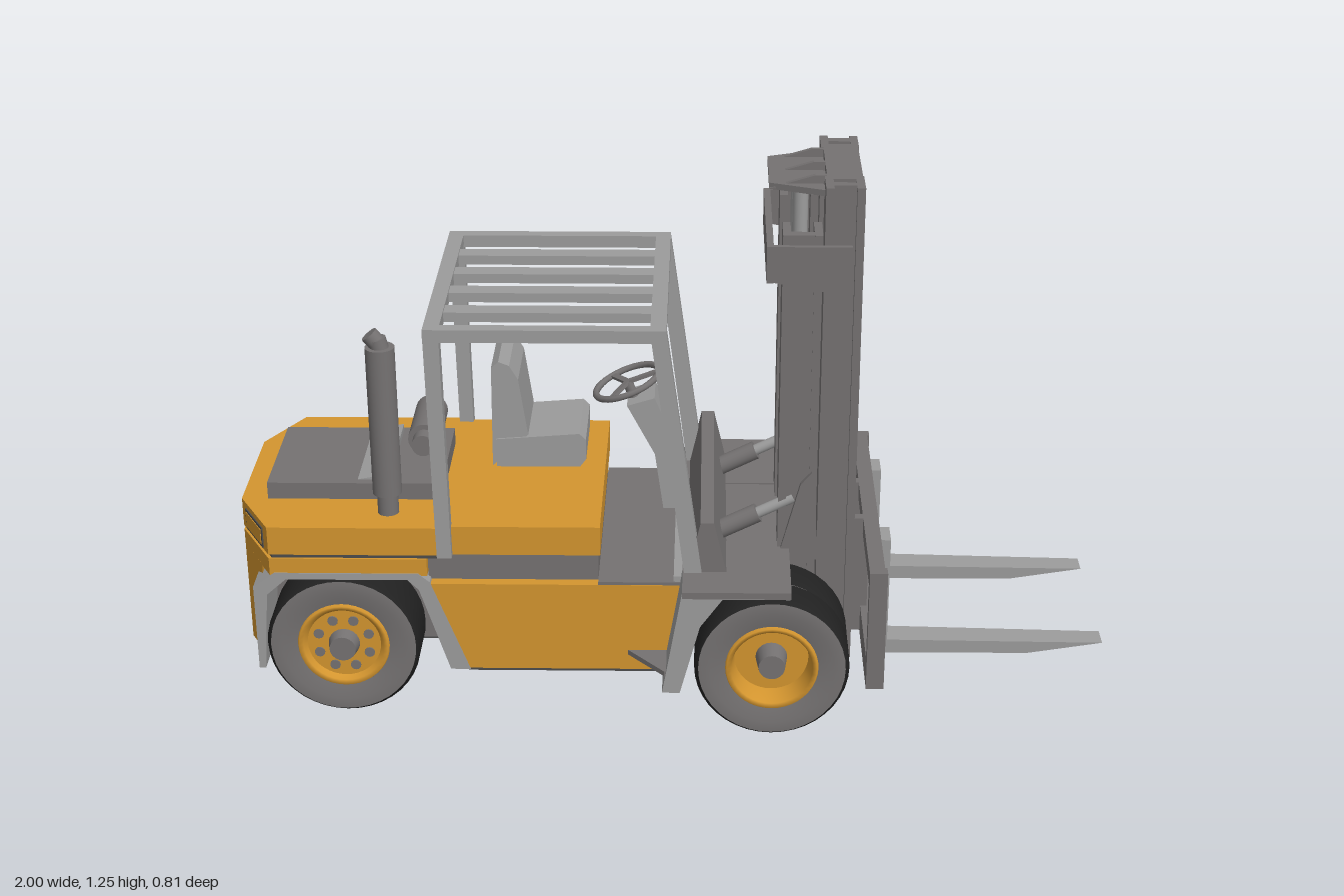
import * as THREE from 'three';

const mat = (name, color, side = THREE.FrontSide) => {
  const m = new THREE.MeshStandardMaterial({ color, side });
  m.name = name;
  return m;
};

export function createModel() {
  const yellow = mat('yellow paint', 0xd3952f);
  const light = mat('light grey', 0x9c9c9c);
  const grey = mat('steel grey', 0x757272);
  const dark = mat('dark underside', 0x4c4c4c);
  const rubber = mat('black rubber', 0x222222);

  const root = new THREE.Group();
  root.name = 'forklift';
  const truck = new THREE.Group();
  truck.name = 'truck';
  truck.rotation.y = 0.053; // the truck stands slightly turned
  root.add(truck);

  const add = (name, geo, m, parent = truck) => {
    const mesh = new THREE.Mesh(geo, m);
    mesh.name = name;
    parent.add(mesh);
    return mesh;
  };
  // box from minimum and maximum corners
  const box = (name, m, x0, x1, y0, y1, z0, z1) => add(name,
    new THREE.BoxGeometry(x1 - x0, y1 - y0, z1 - z0).translate((x0 + x1) / 2, (y0 + y1) / 2, (z0 + z1) / 2), m);
  const shapeOf = (pts) => new THREE.Shape(pts.map(([a, b]) => new THREE.Vector2(a, b)));
  // side profile (x, y) extruded across z
  const slab = (name, m, pts, z0, z1) => add(name,
    new THREE.ExtrudeGeometry(shapeOf(pts), { depth: z1 - z0, bevelEnabled: false }).translate(0, 0, z0), m);
  // plan outline (x, z) extruded upwards
  const plan = (name, m, pts, y0, y1) => add(name,
    new THREE.ExtrudeGeometry(shapeOf(pts), { depth: y1 - y0, bevelEnabled: false })
      .rotateX(Math.PI / 2).translate(0, y1, 0), m);
  // cylinder between two points
  const rod = (name, m, a, b, r, n = 20) => {
    const p = new THREE.Vector3(...a), q = new THREE.Vector3(...b);
    const mesh = add(name, new THREE.CylinderGeometry(r, r, p.distanceTo(q), n), m);
    mesh.position.copy(p).add(q).multiplyScalar(0.5);
    mesh.quaternion.setFromUnitVectors(new THREE.Vector3(0, 1, 0), q.sub(p).normalize());
    return mesh;
  };
  // the same z range on both sides
  const bothSides = (fn) => [[1, 'right'], [-1, 'left']].forEach(([s, side]) =>
    fn((a, b) => (s > 0 ? [a, b] : [-b, -a]), side, s));

  // ---- body ----
  const rearPlan = (x1, i = 0) => [[-0.99 + i, -0.15], [-0.91 + i, -0.295 + i], [x1, -0.295 + i],
    [x1, 0.295 - i], [-0.91 + i, 0.295 - i], [-0.99 + i, 0.15]];
  plan('counterweight', yellow, [[-0.99, -0.15], [-0.935, -0.25], [-0.935, 0.25], [-0.99, 0.15]], 0.12, 0.365);
  plan('rearBodyBand', yellow, rearPlan(-0.555), 0.36, 0.402);
  plan('bodySeam', dark, rearPlan(-0.53, 0.006), 0.402, 0.412);
  plan('rearHood', yellow, rearPlan(-0.52), 0.412, 0.48);
  box('frontHood', yellow, -0.52, -0.165, 0.41, 0.48, -0.285, 0.285);
  box('hoodBase', grey, -0.555, -0.17, 0.34, 0.41, -0.27, 0.27);
  slab('sideBody', yellow, [[-0.47, 0.122], [-0.01, 0.122], [0.03, 0.34], [-0.555, 0.34]], -0.295, 0.295);
  box('floor', grey, -0.17, 0.06, 0.338, 0.347, -0.294, 0.294);
  box('underside', dark, -0.93, 0.12, 0.115, 0.122, -0.15, 0.15);
  box('undersideMiddle', dark, -0.47, -0.01, 0.116, 0.122, -0.294, 0.294);
  box('rearChassis', grey, -0.935, -0.46, 0.12, 0.36, -0.15, 0.15);
  box('frontChassis', light, 0, 0.3, 0.12, 0.36, -0.15, 0.15);
  box('frontDeck', grey, 0.02, 0.26, 0.345, 0.375, -0.3, 0.3);
  slab('cowl', grey, [[0.03, 0.37], [0.12, 0.37], [0.09, 0.5], [0.06, 0.5]], -0.3, 0.3);
  box('hoodCover', grey, -0.93, -0.53, 0.48, 0.52, -0.15, 0.15);
  slab('hoodVent', light, [[-0.73, 0.519], [-0.65, 0.519], [-0.65, 0.535]], -0.14, 0.13);

  bothSides((z, side, s) => {
    slab(side + 'RearArch', light, [[-0.95, 0.12], [-0.935, 0.12], [-0.92, 0.31], [-0.875, 0.35],
      [-0.6, 0.35], [-0.575, 0.325], [-0.51, 0.12], [-0.465, 0.12], [-0.55, 0.345], [-0.575, 0.366],
      [-0.9, 0.366], [-0.95, 0.33]], ...z(0.15, 0.297).map((v, i) => v));
    slab(side + 'FrontFender', light, [[-0.025, 0.12], [0.015, 0.12], [0.06, 0.29], [0.11, 0.36],
      [0.26, 0.36], [0.26, 0.376], [0.02, 0.376]], ...z(0.28, 0.395));
    box(side + 'FenderTop', grey, 0.02, 0.262, 0.362, 0.378, ...z(0.15, 0.397));
    box(side + 'FenderBack', light, 0.0, 0.03, 0.2, 0.36, ...z(0.15, 0.29));
    const step = [[-0.105, 0.294 * s], [-0.015, 0.294 * s], [0, 0.39 * s], [-0.02, 0.39 * s]];
    plan(side + 'Step', grey, step, 0.16, 0.172);
    // lamp recess on the chamfered rear corner
    const lamp = add(side + 'LampFrame', new THREE.BoxGeometry(0.11, 0.05, 0.006), dark);
    const face = add(side + 'Lamp', new THREE.BoxGeometry(0.098, 0.038, 0.009), yellow);
    for (const m of [lamp, face]) {
      m.position.set(-0.95, 0.442, 0.2225 * s);
      m.rotation.y = -s * Math.atan2(0.145, 0.08);
    }
  });

  // ---- exhaust and air filter ----
  rod('exhaustBase', grey, [-0.646, 0.47, 0.212], [-0.646, 0.55, 0.212], 0.024);
  rod('muffler', grey, [-0.646, 0.53, 0.212], [-0.646, 0.885, 0.212], 0.033, 24);
  rod('exhaustTip', grey, [-0.646, 0.88, 0.212], [-0.652, 0.905, 0.212], 0.021);
  rod('exhaustOutlet', grey, [-0.652, 0.895, 0.212], [-0.668, 0.915, 0.212], 0.02);
  rod('airFilter', grey, [-0.585, 0.56, -0.17], [-0.585, 0.56, 0.0], 0.038, 24);
  rod('airFilterEnd', grey, [-0.585, 0.56, 0.0], [-0.585, 0.56, 0.035], 0.026);
  rod('airFilterPipe', grey, [-0.585, 0.56, -0.13], [-0.585, 0.5, -0.13], 0.024);

  // ---- seat ----
  slab('seatCushion', light, [[-0.42, 0.48], [-0.225, 0.48], [-0.21, 0.5], [-0.21, 0.55], [-0.225, 0.565],
    [-0.42, 0.55]], -0.225, -0.025);
  slab('seatBack', light, [[-0.43, 0.48], [-0.345, 0.56], [-0.365, 0.7], [-0.385, 0.735], [-0.41, 0.745],
    [-0.427, 0.73]], -0.22, -0.03);

  // ---- steering ----
  slab('steeringPedestal', light, [[-0.115, 0.615], [-0.05, 0.49], [-0.03, 0.345], [0.03, 0.345],
    [0.01, 0.49], [-0.05, 0.635]], -0.175, -0.075);
  const steering = new THREE.Group();
  steering.name = 'steering';
  steering.position.set(-0.115, 0.655, -0.125);
  steering.rotation.z = 0.37;
  truck.add(steering);
  add('steeringWheel', new THREE.TorusGeometry(0.08, 0.008, 8, 32).rotateX(Math.PI / 2), grey, steering);
  add('steeringColumn', new THREE.CylinderGeometry(0.012, 0.014, 0.07, 12).translate(0, -0.035, 0), grey, steering);
  for (let i = 0; i < 3; i++) {
    add('steeringSpoke', new THREE.BoxGeometry(0.08, 0.008, 0.014).translate(0.04, 0, 0)
      .rotateY(i * Math.PI * 2 / 3), grey, steering);
  }

  // ---- overhead guard ----
  bothSides((z, side) => {
    slab(side + 'RearPost', light, [[-0.53, 0.41], [-0.497, 0.41], [-0.505, 0.96], [-0.54, 0.96]], ...z(0.272, 0.305));
    slab(side + 'FrontPost', light, [[0.028, 0.34], [0.068, 0.34], [-0.015, 0.96], [-0.05, 0.96]], ...z(0.272, 0.305));
    box(side + 'RoofRail', light, -0.54, -0.015, 0.935, 0.964, ...z(0.275, 0.305));
  });
  box('rearRoofBar', light, -0.54, -0.505, 0.935, 0.964, -0.3, 0.3);
  box('frontRoofBar', light, -0.05, -0.015, 0.935, 0.964, -0.3, 0.3);
  for (let i = 0; i < 4; i++) {
    const c = (i - 1.5) * 0.116;
    box('roofSlat', light, -0.51, -0.045, 0.938, 0.96, c - 0.022, c + 0.022);
  }

  // ---- mast ----
  bothSides((z, side, s) => {
    const beam = (name, x0, x1, y0, y1, a, b, web) => {
      box(name + 'FrontFlange', grey, x1 - 0.018, x1, y0, y1, ...z(a, b));
      box(name + 'RearFlange', grey, x0, x0 + 0.018, y0, y1, ...z(a, b));
      box(name + 'Web', grey, x0, x1, y0, y1, ...z(web, web + 0.022));
    };
    beam(side + 'InnerMast', 0.325, 0.41, 0.09, 1.245, 0.1, 0.18, 0.14);
    beam(side + 'OuterMast', 0.235, 0.322, 0.12, 1.135, 0.088, 0.175, 0.15);
    rod(side + 'LiftCylinder', grey, [0.27, 0.15, 0.06 * s], [0.27, 1.05, 0.06 * s], 0.026);
    rod(side + 'LiftPiston', light, [0.275, 1.05, 0.06 * s], [0.275, 1.215, 0.06 * s], 0.017);
    slab(side + 'MastCollar', grey, [[0.2, 1.035], [0.385, 1.0], [0.385, 1.115], [0.2, 1.115]], ...z(0.18, 0.192));
    slab(side + 'TiltBracket', grey, [[0.235, 0.35], [0.33, 0.35], [0.31, 0.57], [0.285, 0.54]], ...z(0.16, 0.185));
    rod(side + 'TiltCylinder', grey, [0.08, 0.405, 0.165 * s], [0.19, 0.46, 0.165 * s], 0.022);
    rod(side + 'TiltPiston', light, [0.18, 0.455, 0.165 * s], [0.27, 0.5, 0.165 * s], 0.013);
  });
  box('mastCollarBack', grey, 0.2, 0.215, 1.03, 1.115, -0.19, 0.19);
  box('mastTopBar', grey, 0.33, 0.408, 1.205, 1.245, -0.12, 0.12);
  plan('mastTopPlate', grey, [[0.205, -0.09], [0.33, -0.14], [0.33, 0.14], [0.205, 0.09]], 1.212, 1.226);
  for (const c of [-0.09, 0, 0.09]) {
    slab('mastTopRib', grey, [[0.205, 1.215], [0.33, 1.215], [0.33, 1.245], [0.305, 1.245]], c - 0.006, c + 0.006);
  }
  box('mastBottomBar', grey, 0.27, 0.408, 0.09, 0.13, -0.175, 0.175);
  box('mastMiddleBar', grey, 0.24, 0.26, 0.56, 0.64, -0.15, 0.15);

  // ---- carriage and forks ----
  box('carriageTopBar', grey, 0.435, 0.47, 0.375, 0.415, -0.37, 0.37);
  box('carriageBottomBar', grey, 0.435, 0.47, 0.12, 0.185, -0.37, 0.37);
  bothSides((z, side) => {
    box(side + 'CarriageEnd', grey, 0.435, 0.475, 0.12, 0.415, ...z(0.345, 0.372));
    box(side + 'CarriageUpright', grey, 0.39, 0.45, 0.12, 0.415, ...z(0.082, 0.105));
    box(side + 'ForkShank', light, 0.468, 0.492, 0.122, 0.415, ...z(0.147, 0.212));
    // blade thins and narrows toward the tip
    const blade = new THREE.BoxGeometry(0.51, 0.035, 0.065, 3, 1, 1);
    const p = blade.attributes.position;
    for (let i = 0; i < p.count; i++) {
      const t = p.getX(i) / 0.51 + 0.5;
      if (p.getY(i) < 0 && t > 0.9) p.setY(i, 0.002);
      if (p.getY(i) > 0) p.setY(i, 0.0175 - 0.008 * t);
      p.setZ(i, p.getZ(i) * (1 - 0.18 * t));
    }
    blade.computeVertexNormals();
    const [a, b] = z(0.147, 0.212);
    add(side + 'ForkBlade', blade.translate(0.735, 0.1385, (a + b) / 2), light);
  });

  // ---- wheels ----
  const lathe = (pts) => new THREE.LatheGeometry(pts.map(([r, y]) => new THREE.Vector2(r, y)), 40).rotateX(Math.PI / 2);
  const wheel = (name, x, zc, w, s, deep) => {
    const g = new THREE.Group(), h = w / 2;
    g.name = name;
    g.position.set(x, 0.175, zc * s);
    if (s < 0) g.rotation.y = Math.PI;
    truck.add(g);
    add('tread', lathe([[0.166, -h], [0.175, -h + 0.012], [0.175, h - 0.012], [0.166, h]]), rubber, g);
    add('outerSidewall', lathe([[0.166, h], [0.14, h + 0.002], [0.104, h - 0.006]]), grey, g);
    add('innerSidewall', lathe([[0, -h + 0.01], [0.1, -h + 0.01], [0.14, -h], [0.166, -h]]), rubber, g);
    const d = deep ? 0.055 : 0.014;
    add('rim', lathe([[0.106, h - 0.008], [0.102, h + 0.002], [0.092, h - 0.002], [0.084, h - d],
      [0.084, h - d], [0, h - d]]), yellow, g);
    const len = deep ? 0.05 : 0.03;
    add('hub', new THREE.CylinderGeometry(0.03, 0.036, len, 20).rotateX(Math.PI / 2)
      .translate(0, 0, h - d + len / 2), grey, g);
    for (let i = 0; i < 8 && !deep; i++) {
      const a = (i + 0.5) * Math.PI / 4;
      add('rimHole', new THREE.CylinderGeometry(0.012, 0.012, 0.004, 12).rotateX(Math.PI / 2)
        .translate(Math.cos(a) * 0.062, Math.sin(a) * 0.062, h - d + 0.001), grey, g);
    }
  };
  bothSides((z, side, s) => {
    wheel(side + 'RearWheel', -0.755, 0.225, 0.13, s, false);
    wheel(side + 'FrontInnerWheel', 0.222, 0.232, 0.093, s, true);
    wheel(side + 'FrontOuterWheel', 0.222, 0.333, 0.093, s, true);
  });
  rod('rearAxle', grey, [-0.755, 0.175, -0.2], [-0.755, 0.175, 0.2], 0.03);
  rod('frontAxle', grey, [0.222, 0.175, -0.3], [0.222, 0.175, 0.3], 0.04);

  return root;
}
